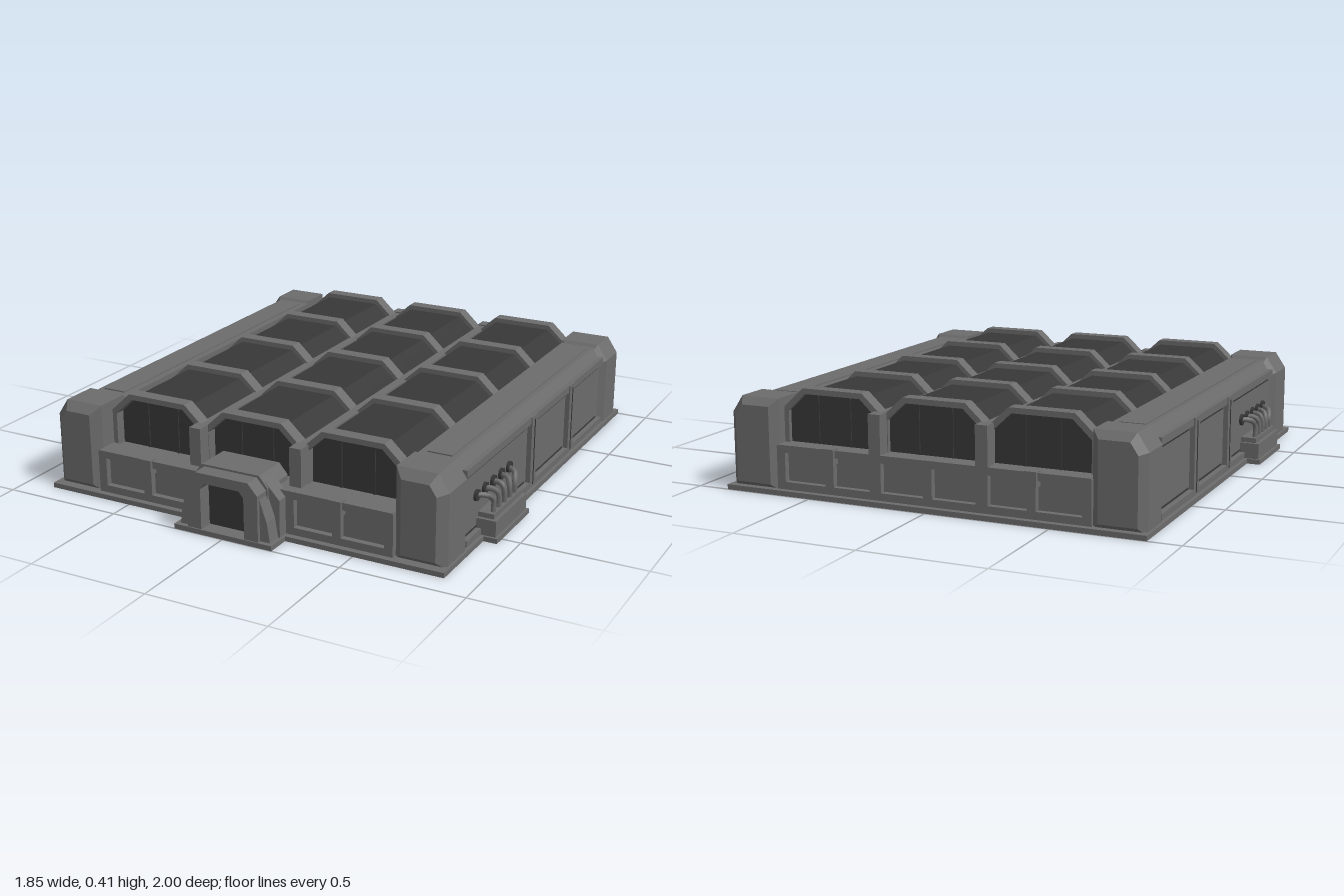
import * as THREE from 'three';

const mat = (name, color) => {
  const m = new THREE.MeshStandardMaterial({ color });
  m.name = name;
  return m;
};

export function createModel() {
  const grey = mat('hull grey', 0x6c6c6c);
  const dark = mat('dark glass', 0x383838);
  const model = new THREE.Group();

  const add = (name, geo, m) => {
    const mesh = new THREE.Mesh(geo, m);
    mesh.name = name;
    model.add(mesh);
    return mesh;
  };
  // box given by its limits
  const box = (name, x0, x1, y0, y1, z0, z1, m = grey) => {
    const g = new THREE.BoxGeometry(Math.abs(x1 - x0), y1 - y0, Math.abs(z1 - z0));
    g.translate((x0 + x1) / 2, (y0 + y1) / 2, (z0 + z1) / 2);
    return add(name, g, m);
  };
  const toV = (pts) => pts.map(([x, y]) => new THREE.Vector2(x, y));
  // x/y profile run along z, with optional hole and end chamfer
  const prism = (name, pts, z0, z1, m = grey, hole = null, bevel = 0) => {
    const s = new THREE.Shape(toV(pts));
    if (hole) s.holes.push(new THREE.Path(toV(hole)));
    const g = new THREE.ExtrudeGeometry(s, {
      depth: z1 - z0 - 2 * bevel, bevelEnabled: bevel > 0, bevelSize: bevel,
      bevelThickness: bevel, bevelOffset: -bevel, bevelSegments: 1,
    });
    g.translate(0, 0, z0 + bevel);
    return add(name, g, m);
  };

  // base slab and central core
  box('baseSlab', -0.87, 0.87, 0, 0.02, -1, 0.9);
  box('core', -0.66, 0.66, 0.02, 0.18, -0.95, 0.85);

  // three glazed vaults with ribs
  const arch = (cx, w, t, y0, y1, y2) =>
    [[cx - w, y0], [cx + w, y0], [cx + w, y1], [cx + t, y2], [cx - t, y2], [cx - w, y1]];
  for (const cx of [-0.435, 0, 0.435]) {
    prism('vaultGlass', arch(cx, 0.205, 0.125, 0.17, 0.322, 0.392), -0.9, 0.73, dark);
    for (const z of [-0.89, -0.495, -0.095, 0.33, 0.745]) {
      prism('vaultRib', arch(cx, 0.215, 0.13, 0.17, 0.334, 0.412), z - 0.028, z + 0.028, grey,
        arch(cx, 0.195, 0.12, 0.185, 0.32, 0.39));
    }
    // glazing bars on the end panes
    for (const dx of [-0.07, 0.07]) {
      box('glazingBar', cx + dx - 0.003, cx + dx + 0.003, 0.18, 0.385, 0.73, 0.735, dark);
      box('glazingBar', cx + dx - 0.003, cx + dx + 0.003, 0.18, 0.385, -0.905, -0.9, dark);
    }
  }

  // gutters between the vaults, with end posts
  for (const s of [-1, 1]) {
    const x = s * 0.222;
    box('gutter', x - 0.02, x + 0.02, 0.18, 0.345, -0.95, 0.79);
    box('gutterPost', x - 0.025, x + 0.025, 0.02, 0.35, 0.77, 0.83);
    box('gutterPost', x - 0.025, x + 0.025, 0.02, 0.35, -0.975, -0.92);
  }

  // low parapets at front and back, framed into panels
  for (const e of [{ z: 0.85, d: 1 }, { z: -0.95, d: -1 }]) {
    const out = e.z + e.d * 0.025;
    box('parapetRail', -0.65, 0.65, 0.165, 0.195, e.z - e.d * 0.07, out);
    box('parapetSill', -0.65, 0.65, 0.02, 0.05, e.z, out);
    for (const x of [-0.635, -0.42, -0.222, 0, 0.222, 0.42, 0.635]) {
      box('parapetPost', x - 0.018, x + 0.018, 0.02, 0.19, e.z, out);
    }
    for (const x of [-0.42, 0.42]) {
      box('parapetBracket', x - 0.025, x + 0.025, 0.14, 0.2, e.z, out + e.d * 0.012);
    }
  }

  // side wings
  const wing = (s, o, c, y) =>
    [[0.65, 0.005], [o, 0.005], [o, 0.305], [c, y], [0.65, y]].map(([x, h]) => [s * x, h]);
  for (const s of [-1, 1]) {
    prism('wing', wing(s, 0.835, 0.8, 0.36), -0.9, 0.8);
    prism('frontCorner', wing(s, 0.86, 0.815, 0.372), 0.66, 0.88, grey, null, 0.035);
    prism('backCorner', wing(s, 0.86, 0.815, 0.372), -0.985, -0.79, grey, null, 0.03);
    box('roofPlate', s * 0.68, s * 0.78, 0.358, 0.365, -0.78, 0.65);

    // wall frame around three recessed panels
    box('wallTopRail', s * 0.83, s * 0.85, 0.295, 0.325, -0.8, 0.67);
    box('wallSill', s * 0.83, s * 0.855, 0.02, 0.045, -0.8, 0.67);
    for (const z of [0.02, -0.405]) {
      box('wallPost', s * 0.83, s * 0.855, 0.02, 0.325, z - 0.03, z + 0.03);
      box('wallPostGroove', s * 0.855, s * 0.857, 0.03, 0.31, z - 0.003, z + 0.003, dark);
    }
    for (const [z0, z1] of [[0.07, 0.64], [-0.36, -0.03], [-0.77, -0.45]]) {
      box('panelSeam', s * 0.834, s * 0.838, 0.28, 0.288, z0, z1, dark);
      box('panelSeam', s * 0.834, s * 0.838, 0.05, 0.056, z0, z1, dark);
    }

    // utility pod with pipes bending into the wall
    box('podFoot', s * 0.83, s * 0.925, 0, 0.02, 0.23, 0.55);
    box('podBody', s * 0.83, s * 0.915, 0.02, 0.085, 0.24, 0.54);
    box('podLid', s * 0.83, s * 0.9, 0.085, 0.105, 0.255, 0.525);
    for (let i = 0; i < 5; i++) {
      const z = 0.29 + i * 0.052;
      const zw = 0.39 + (z - 0.39) * 1.5;
      const curve = new THREE.CatmullRomCurve3([
        new THREE.Vector3(s * 0.885, 0.1, z), new THREE.Vector3(s * 0.885, 0.15, z),
        new THREE.Vector3(s * 0.872, 0.178, (z + zw) / 2), new THREE.Vector3(s * 0.83, 0.183, zw),
      ]);
      add('pipe', new THREE.TubeGeometry(curve, 8, 0.011, 6), grey);
      const flange = new THREE.CylinderGeometry(0.024, 0.024, 0.012, 8);
      flange.rotateZ(Math.PI / 2).translate(s * 0.84, 0.183, zw);
      add('pipeFlange', flange, dark);
    }
  }

  // entrance porch
  const door = (w, t, y1, y2, y0 = 0.005) => arch(0, w, t, y0, y1, y2);
  box('porchStep', -0.215, 0.215, 0, 0.02, 0.85, 1);
  prism('porchBody', door(0.16, 0.125, 0.215, 0.258), 0.78, 0.93);
  prism('porchCollar', door(0.205, 0.135, 0.17, 0.245), 0.85, 0.92);
  prism('porchFrame', door(0.155, 0.115, 0.205, 0.25), 0.92, 0.995, grey,
    door(0.095, 0.075, 0.185, 0.21, 0.02));
  prism('doorPanel', door(0.1, 0.08, 0.19, 0.215, 0.02), 0.93, 0.936, dark);
  for (const s of [-1, 1]) {
    prism('porchButtress', [[0.15, 0.005], [0.2, 0.005], [0.185, 0.1], [0.15, 0.2]]
      .map(([x, y]) => [s * x, y]), 0.92, 0.98);
  }
  return model;
}
